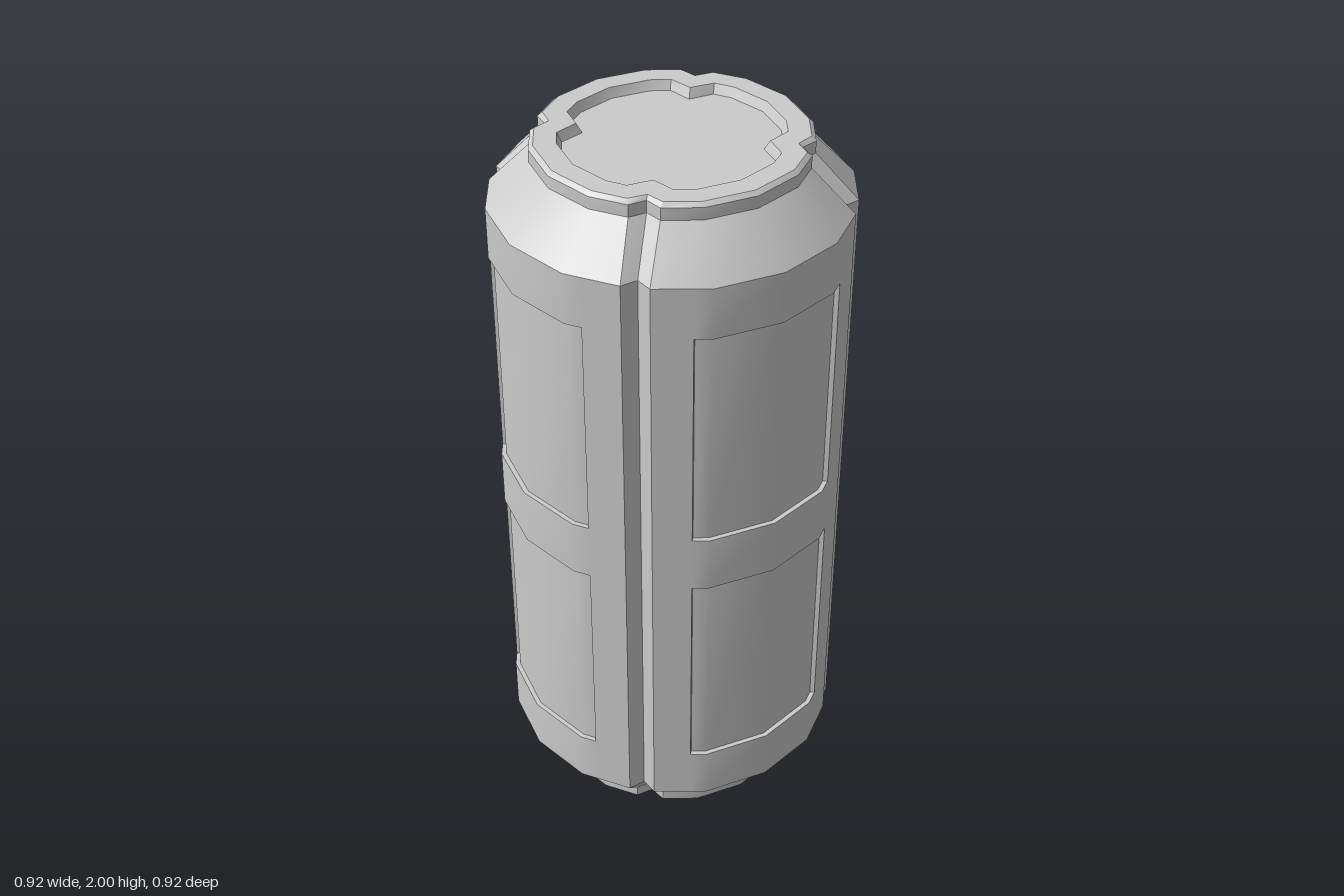
import * as THREE from 'three';
import { toCreasedNormals } from 'three/addons/utils/BufferGeometryUtils.js';

const material = new THREE.MeshStandardMaterial({ color: 0xcccccc });
const BODY = { groove: 0.43, edge: 0.462, half: 0.035, radius: 0.469 };
const BODY_LOW = 0.16, BODY_HIGH = 1.84;
const PANEL_ROWS = [[0.31, 0.925], [1.085, 1.7]];
const PANEL_EDGE = 0.135, PANEL_DEPTH = 0.013;

// One quarter of the cross-section as [x, z], from the front groove to the side groove
function quarter({ groove, edge, half, radius }) {
  const arc = [1, 2, 3].map((i) => {
    const a = (i * Math.PI) / 8;
    return [radius * Math.sin(a), radius * Math.cos(a)];
  });
  return [[0, groove], [half, edge], ...arc, [edge, half], [groove, 0]];
}

// Whole closed cross-section with its four V grooves
function section(spec) {
  const loop = [];
  for (let q = 0; q < 4; q++) {
    for (const [x, z] of quarter(spec).slice(0, -1)) {
      const c = Math.round(Math.cos((q * Math.PI) / 2));
      const s = Math.round(Math.sin((q * Math.PI) / 2));
      loop.push([x * c + z * s, z * c - x * s]);
    }
  }
  return loop;
}

const at = ([x, z], y) => [x, y, z];

function quad(out, a, b, c, d) {
  out.push(...a, ...b, ...c, ...a, ...c, ...d);
}

// Wall between two paths with the same number of points
function strip(out, low, yLow, high, yHigh) {
  for (let i = 0; i + 1 < low.length; i++) {
    quad(out, at(low[i], yLow), at(low[i + 1], yLow), at(high[i + 1], yHigh), at(high[i], yHigh));
  }
}

function makeMesh(name, positions) {
  const geometry = new THREE.BufferGeometry();
  geometry.setAttribute('position', new THREE.Float32BufferAttribute(positions, 3));
  const mesh = new THREE.Mesh(toCreasedNormals(geometry, 0.55), material);
  mesh.name = name;
  return mesh;
}

// Quarter of the body wall with two recessed panels
function bodyQuarter() {
  const group = new THREE.Group();
  const pts = quarter(BODY);
  const t = (PANEL_EDGE - pts[1][0]) / (pts[2][0] - pts[1][0]);
  const zEdge = pts[1][1] + t * (pts[2][1] - pts[1][1]);
  const start = [PANEL_EDGE, zEdge], end = [zEdge, PANEL_EDGE];
  const outer = [start, ...pts.slice(2, 5), end];
  const k = 1 - PANEL_DEPTH / BODY.radius;
  const inner = [
    [PANEL_EDGE, zEdge - PANEL_DEPTH],
    ...pts.slice(2, 5).map(([x, z]) => [x * k, z * k]),
    [zEdge - PANEL_DEPTH, PANEL_EDGE],
  ];

  // Wall beside, below, between and above the panels
  const wall = [];
  const before = [pts[0], pts[1], start], after = [end, pts[5], pts[6]];
  const levels = [BODY_LOW, ...PANEL_ROWS.flat(), BODY_HIGH];
  for (let i = 0; i + 1 < levels.length; i++) {
    const y0 = levels[i], y1 = levels[i + 1];
    strip(wall, before, y0, before, y1);
    strip(wall, after, y0, after, y1);
    if (i % 2 === 0) strip(wall, outer, y0, outer, y1);
  }
  group.add(makeMesh('bodyWall', wall));

  // Recessed panels: floor, two ledges and two side walls
  for (const [y0, y1] of PANEL_ROWS) {
    const p = [];
    strip(p, inner, y0, inner, y1);
    strip(p, outer, y0, inner, y0);
    strip(p, inner, y1, outer, y1);
    strip(p, [start, inner[0]], y0, [start, inner[0]], y1);
    strip(p, [inner[4], end], y0, [inner[4], end], y1);
    group.add(makeMesh('recessedPanel', p));
  }
  return group;
}

// Sloped shoulder, raised rim and sunken lid, built at the top
function endPiece() {
  const group = new THREE.Group();
  const foot = { groove: 0.32, edge: 0.349, half: 0.038, radius: 0.356 };
  const lip = { groove: 0.31, edge: 0.337, half: 0.042, radius: 0.344 };
  const innerLip = { groove: 0.241, edge: 0.277, half: 0.056, radius: 0.286 };
  const floor = { groove: 0.226, edge: 0.265, half: 0.056, radius: 0.274 };
  const build = (name, rings) => {
    const out = [];
    for (let i = 0; i + 1 < rings.length; i++) {
      const [a, b] = [rings[i], rings[i + 1]].map(([spec]) => {
        const loop = section(spec);
        return [...loop, loop[0]];
      });
      strip(out, a, rings[i][1], b, rings[i + 1][1]);
    }
    group.add(makeMesh(name, out));
  };
  build('shoulder', [[BODY, BODY_HIGH], [foot, 1.957]]);
  build('rim', [[foot, 1.957], [foot, 1.99], [lip, 2], [innerLip, 2], [floor, 1.975]]);

  const lid = [];
  const loop = section(floor);
  loop.forEach((p, i) => {
    lid.push(0, 1.975, 0, ...at(p, 1.975), ...at(loop[(i + 1) % loop.length], 1.975));
  });
  group.add(makeMesh('lid', lid));
  return group;
}

export function createModel() {
  const model = new THREE.Group();
  model.name = 'canister';

  for (let q = 0; q < 4; q++) {
    const side = bodyQuarter();
    side.name = 'bodyQuarter';
    side.rotation.y = (q * Math.PI) / 2;
    model.add(side);
  }

  const top = endPiece();
  top.name = 'topEnd';
  const bottom = endPiece();
  bottom.name = 'bottomEnd';
  bottom.rotation.x = Math.PI;
  bottom.position.y = 2;
  model.add(top, bottom);
  return model;
}
